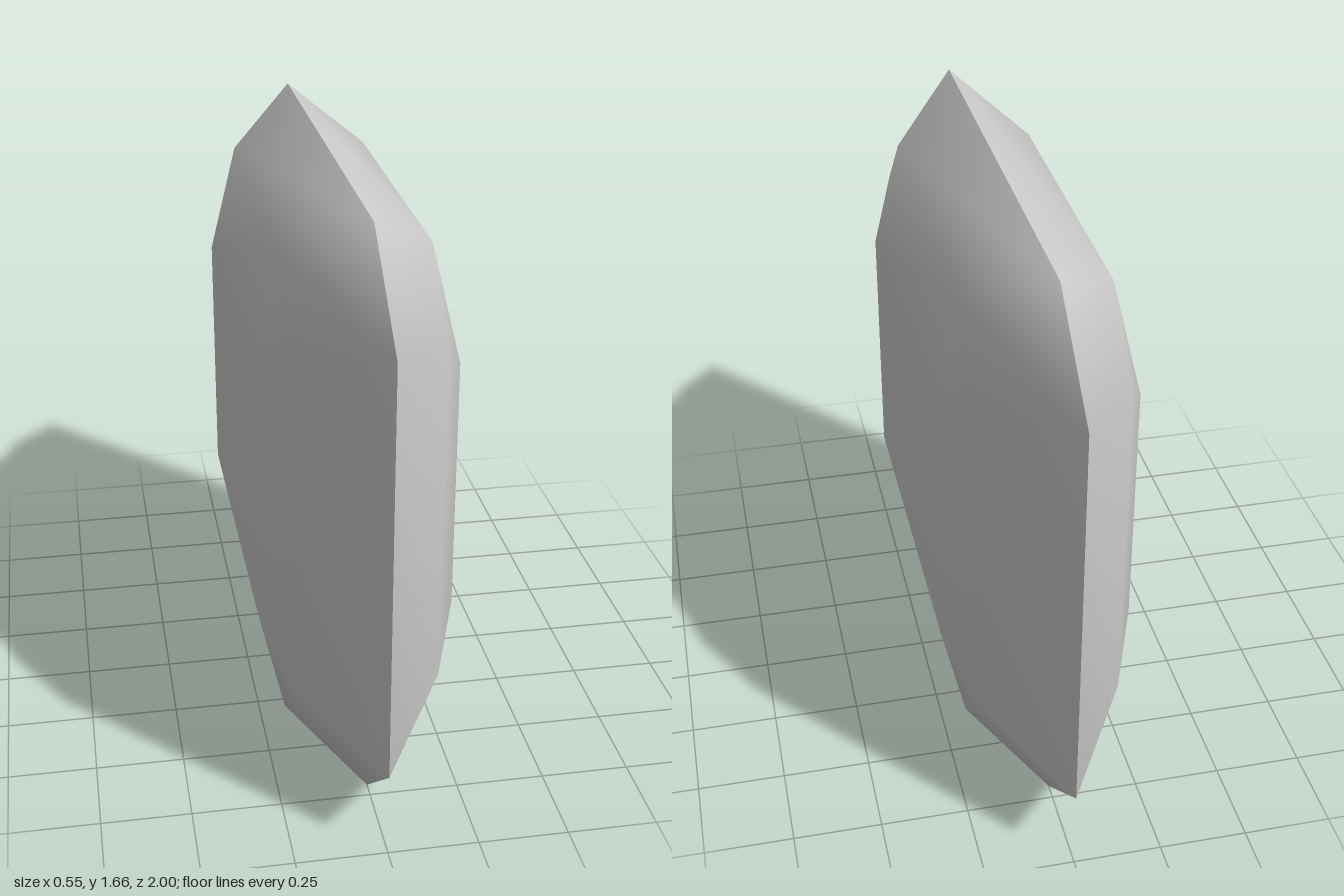
import * as THREE from 'three';

const CENTRE_Y = 0.8325;
const CORNERS = [[1, 1], [-1, 1], [-1, -1], [1, -1]];

// Octagonal ring at depth x, counter-clockwise seen from +x.
// a, b are half depth and half height; ca, cb are where the cut corners start.
function octagon(x, a, b, ca, cb) {
  return CORNERS.flatMap(([u, v]) => {
    const side = [x, CENTRE_Y + v * cb, -u * a];
    const cap = [x, CENTRE_Y + v * b, -u * ca];
    return u * v > 0 ? [side, cap] : [cap, side];
  });
}

// One domed half: octagonal rim, octagonal shoulder, rectangular flat face
function halfGeometry() {
  const rim = octagon(0, 1, 0.8325, 0.705, 0.5875);
  const shoulder = octagon(0.2, 0.69, 0.695, 0.48, 0.495);
  const face = CORNERS.map(([u, v]) => [0.275, CENTRE_Y + v * 0.365, -u * 0.52]);
  const index = [];
  const quad = (a, b, c, d) => index.push(a, b, c, a, c, d);

  // bevel from rim to shoulder
  for (let i = 0; i < 8; i++) {
    const j = (i + 1) % 8;
    quad(i, j, 8 + j, 8 + i);
  }
  // shoulder to flat face: a triangle at each corner, a quad along each side
  for (let k = 0; k < 4; k++) {
    const n = (k + 1) % 4;
    index.push(8 + 2 * k, 9 + 2 * k, 16 + k);
    quad(9 + 2 * k, 8 + 2 * n, 16 + n, 16 + k);
  }
  quad(16, 17, 18, 19);

  const geometry = new THREE.BufferGeometry();
  geometry.setAttribute('position',
    new THREE.Float32BufferAttribute([...rim, ...shoulder, ...face].flat(), 3));
  geometry.setIndex(index);
  geometry.computeVertexNormals(); // smooth within a half, sharp at the rim
  return geometry;
}

export function createModel() {
  const model = new THREE.Group();
  model.name = 'facetedSlab';
  const material = new THREE.MeshStandardMaterial({ color: 0xcccccc });

  // the half is symmetric in z, so a half turn makes the opposite side
  ['leftHalf', 'rightHalf'].forEach((name, i) => {
    const half = new THREE.Mesh(halfGeometry().rotateY(i * Math.PI), material);
    half.name = name;
    model.add(half);
  });
  return model;
}
